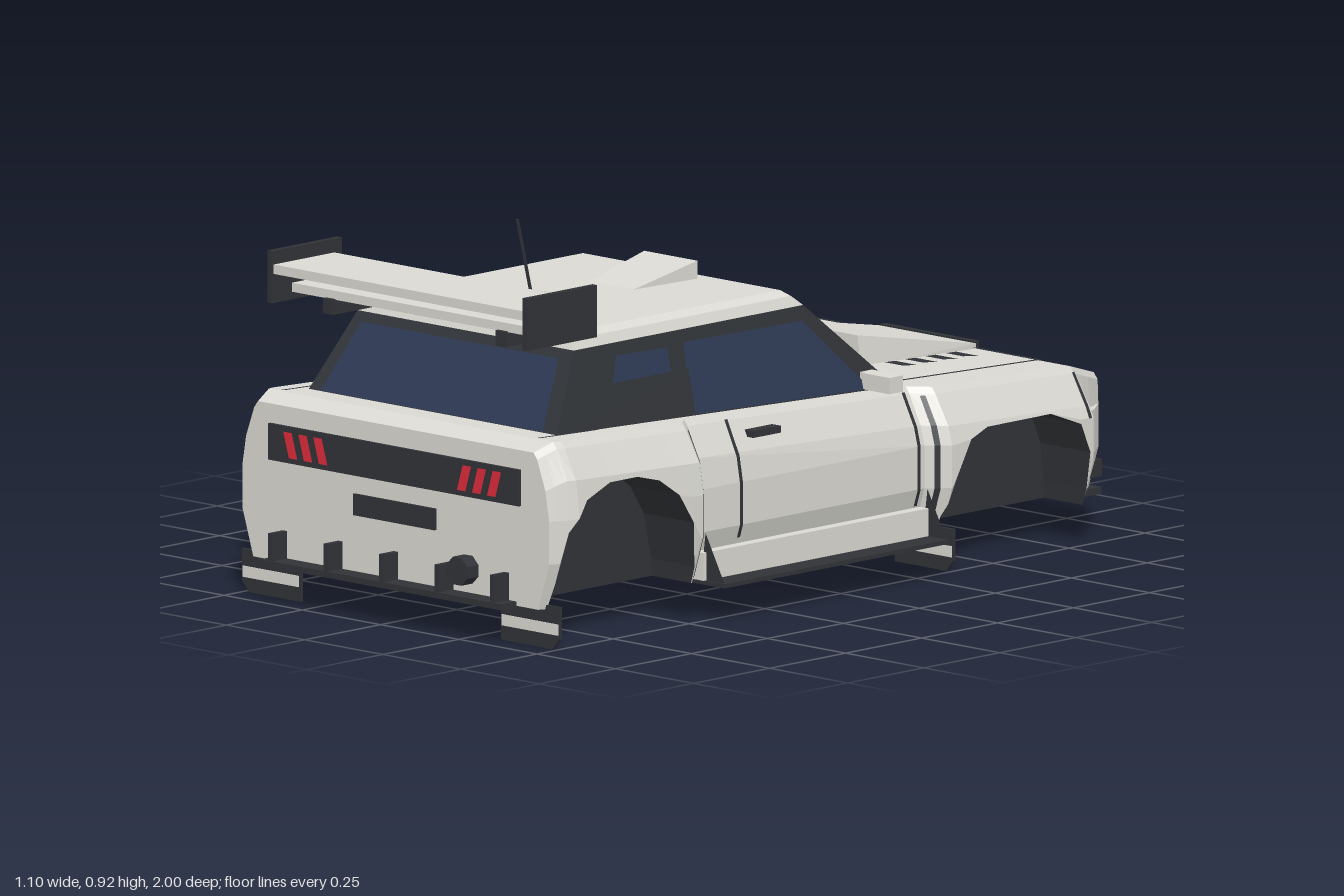
import * as THREE from 'three';
import { ConvexGeometry } from 'three/addons/geometries/ConvexGeometry.js';

const mat = (color, side = THREE.FrontSide) => new THREE.MeshStandardMaterial({ color, side, flatShading: true });
const white = mat(0xdad9d3), dark = mat(0x303337), glass = mat(0x2d3853), red = mat(0xdc2a3a), gold = mat(0xb8a76a);
const thin = (m) => { const c = m.clone(); c.side = THREE.DoubleSide; return c; };
const darkThin = thin(dark), glassThin = thin(glass), redThin = thin(red), whiteThin = thin(white);

// piecewise linear lookup through [input, output] pairs
function lookup(table, v) {
  if (v <= table[0][0]) return table[0][1];
  for (let i = 1; i < table.length; i++) {
    const [a, p] = table[i - 1], [b, q] = table[i];
    if (v <= b) return p + (q - p) * (v - a) / (b - a);
  }
  return table[table.length - 1][1];
}

// body curves along z: deck height, half width, deck half width, underside with wheel arches
const DECK = [[-0.94, 0.37], [-0.8, 0.412], [-0.29, 0.43], [0.9, 0.475], [0.95, 0.455]];
const WIDTH = [[-0.94, 0.41], [-0.88, 0.455], [-0.85, 0.47], [-0.81, 0.52], [-0.345, 0.52], [-0.3, 0.475], [0.43, 0.475], [0.475, 0.52], [0.88, 0.52], [0.95, 0.49]];
const EDGE = [[-0.94, 0.395], [-0.8, 0.455], [-0.345, 0.455], [-0.3, 0.415], [0.43, 0.415], [0.475, 0.455], [0.88, 0.46], [0.95, 0.44]];
const UNDER = [[-0.812, 0.09], [-0.81, 0.13], [-0.8, 0.22], [-0.77, 0.29], [-0.68, 0.325], [-0.47, 0.325], [-0.41, 0.305], [-0.36, 0.22], [-0.337, 0.13], [-0.335, 0.09],
  [0.478, 0.09], [0.48, 0.13], [0.505, 0.24], [0.55, 0.31], [0.61, 0.352], [0.68, 0.37], [0.77, 0.37], [0.85, 0.34], [0.905, 0.27], [0.925, 0.15], [0.93, 0.09]];
const deck = (z) => lookup(DECK, z);
const sideX = (z, y) => {
  const w = lookup(WIDTH, z), t = deck(z);
  return lookup([[0.09, w - 0.035], [0.2, w], [0.3, w], [t - 0.085, w - 0.012], [t - 0.015, lookup(EDGE, z) + 0.012], [t, lookup(EDGE, z)]], y);
};

function triangles(name, verts, material) {
  const g = new THREE.BufferGeometry();
  g.setAttribute('position', new THREE.Float32BufferAttribute(verts.flat(), 3));
  g.computeVertexNormals();
  const m = new THREE.Mesh(g, material);
  m.name = name;
  return m;
}
const panel = (name, [a, b, c, d], material) => triangles(name, [a, b, c, a, c, d], material);

function box(name, x0, x1, y0, y1, z0, z1, material) {
  const m = new THREE.Mesh(new THREE.BoxGeometry(x1 - x0, y1 - y0, z1 - z0), material);
  m.position.set((x0 + x1) / 2, (y0 + y1) / 2, (z0 + z1) / 2);
  m.name = name;
  return m;
}

// symmetric convex solid from [half width, y, z] corners
function hull(name, corners, material) {
  const pts = corners.flatMap(([x, y, z]) => [new THREE.Vector3(x, y, z), new THREE.Vector3(-x, y, z)]);
  const m = new THREE.Mesh(new ConvexGeometry(pts), material);
  m.name = name;
  return m;
}

function disc(name, r, depth, x, y, z, material) {
  const m = new THREE.Mesh(new THREE.CylinderGeometry(r, r, depth, 8).rotateY(Math.PI / 8).rotateX(Math.PI / 2), material);
  m.position.set(x, y, z);
  m.name = name;
  return m;
}

// lofted shell and its dark underside
function addBody(car) {
  const zs = [...new Set([...DECK, ...WIDTH, ...EDGE, ...UNDER].map((p) => p[0]))].sort((a, b) => a - b);
  const rings = zs.map((z) => {
    const t = deck(z), low = lookup(UNDER, z);
    const half = [0.09, 0.2, 0.3, t - 0.085, t - 0.015, t].map((y) => Math.max(y, low)).map((y) => [sideX(z, y), y, z]);
    return [...half, ...half.map(([x, y]) => [-x, y, z]).reverse()];
  });
  const shell = [], under = [], n = rings[0].length;
  for (let i = 0; i + 1 < rings.length; i++) {
    const p = rings[i], q = rings[i + 1];
    for (let j = 0; j + 1 < n; j++) shell.push(p[j], p[j + 1], q[j + 1], p[j], q[j + 1], q[j]);
    under.push(p[n - 1], p[0], q[0], p[n - 1], q[0], q[n - 1]);
  }
  const first = rings[0], last = rings[rings.length - 1];
  for (let j = 0; j < n; j++) {
    const k = (j + 1) % n;
    shell.push([0, 0.2, 0.95], last[j], last[k], [0, 0.2, -0.94], first[k], first[j]);
  }
  car.add(triangles('bodyShell', shell, whiteThin), triangles('underbody', under, darkThin));
}

// parts that exist on both sides, s = 1 or -1
function addSide(car, s) {
  const strip = (name, z0, z1, ys, m = darkThin) => {
    for (let i = 0; i + 1 < ys.length; i++) {
      const at = (z, y) => [s * (sideX(z, y) + 0.003), y, z];
      car.add(panel(name, [at(z0, ys[i]), at(z1, ys[i]), at(z1, ys[i + 1]), at(z0, ys[i + 1])], m));
    }
  };
  const mx = (name, x0, x1, ...rest) => box(name, Math.min(s * x0, s * x1), Math.max(s * x0, s * x1), ...rest);

  // panel gaps and handle
  strip('doorGap', 0.3, 0.31, [0.17, 0.2, 0.3, 0.36, 0.44]);
  strip('doorGap', -0.285, -0.275, [0.16, 0.2, 0.3, 0.345, 0.42]);
  strip('fenderGap', 0.452, 0.466, [0.1, 0.2, 0.3, 0.37, 0.44]);
  strip('fenderGap', -0.325, -0.315, [0.1, 0.2, 0.3, 0.345, 0.41]);
  strip('bumperGap', -0.803, -0.793, [0.3, 0.327, 0.4]);
  car.add(mx('doorHandle', 0.44, 0.468, 0.395, 0.411, 0.165, 0.255, dark));

  // sill and skirt
  car.add(mx('sill', 0.42, 0.488, 0.09, 0.155, -0.3, 0.44, white));
  car.add(mx('skirtBlade', 0.42, 0.55, 0.08, 0.09, -0.3, 0.435, dark));
  for (const z of [-0.3, 0.43]) {
    const b = [s * 0.545, 0.09, z];
    car.add(triangles('skirtBrace', [[s * 0.47, 0.09, z], b, [s * 0.485, 0.2, z]], darkThin));
  }

  // wheel well inner walls
  for (const arch of [UNDER.slice(0, 10), UNDER.slice(10)]) {
    const wall = new THREE.Mesh(new THREE.ShapeGeometry(new THREE.Shape(arch.map(([z, y]) => new THREE.Vector2(-z, y)))), darkThin);
    wall.rotation.y = Math.PI / 2;
    wall.position.x = s * 0.36;
    wall.name = 'wheelWellWall';
    car.add(wall);
  }

  // mud flaps with a pale stripe
  for (const z of [0.93, -0.365]) {
    const shape = new THREE.Shape([[0.32, 0], [0.485, 0], [0.507, 0.025], [0.507, 0.1], [0.32, 0.1]].map(([x, y]) => new THREE.Vector2(s * x, y)));
    const flap = new THREE.Mesh(new THREE.ExtrudeGeometry(shape, { depth: 0.008, bevelEnabled: false }), dark);
    flap.position.z = z - 0.004;
    flap.name = 'mudFlap';
    car.add(flap, mx('flapStripe', 0.325, 0.504, 0.034, 0.06, z - 0.006, z + 0.006, white));
  }

  // side windows
  const pane = (pts) => car.add(panel('sideWindow', pts.map(([z, y]) => [s * (0.4 - (y - 0.43) * 0.256 + 0.004), y, z]), glassThin));
  pane([[0.66, 0.47], [0.425, 0.46], [0.425, 0.615], [0.59, 0.62]]);
  pane([[0.385, 0.458], [-0.2, 0.437], [-0.02, 0.615], [0.37, 0.62]]);

  // mirror, hood seam, deck seam, louvres
  car.add(mx('mirror', 0.39, 0.46, 0.44, 0.478, -0.215, -0.175, white), mx('mirrorHead', 0.41, 0.49, 0.44, 0.478, -0.215, -0.17, white));
  const flat = (name, pts) => car.add(panel(name, pts.map(([x, z]) => [s * x, deck(z) + 0.003, z]), darkThin));
  flat('hoodSeam', [[0.355, -0.8], [0.365, -0.8], [0.365, -0.3], [0.355, -0.3]]);
  flat('hoodSeam', [[0.15, -0.8], [0.36, -0.8], [0.36, -0.79], [0.15, -0.79]]);
  flat('deckSeam', [[0.405, 0.71], [0.413, 0.71], [0.413, 0.9], [0.405, 0.9]]);
  for (let i = 0; i < 4; i++) {
    const z = -0.72 + i * 0.067;
    flat('hoodLouvre', [[0.168, z], [0.242, z], [0.222, z + 0.033], [0.168, z + 0.033]]);
  }

  // tail lights and headlights
  for (const x of [0.207, 0.255, 0.303])
    car.add(panel('tailLight', [[s * x, 0.338, 0.962], [s * (x + 0.027), 0.338, 0.962], [s * (x + 0.045), 0.398, 0.962], [s * (x + 0.018), 0.398, 0.962]], redThin));
  car.add(panel('headlight', [[s * 0.25, 0.305, -0.953], [s * 0.375, 0.305, -0.953], [s * 0.375, 0.335, -0.953], [s * 0.24, 0.335, -0.953]], whiteThin));

  // wing end plate and mount
  car.add(mx('wingEndPlate', 0.4, 0.414, 0.688, 0.81, 0.715, 0.945, dark));
  car.add(mx('wingMount', 0.26, 0.29, 0.672, 0.708, 0.69, 0.89, dark));
}

function addCabin(car) {
  const sill = [[0.4, 0.425, -0.29], [0.4, 0.46, 0.835]], rail = [[0.345, 0.648, -0.035], [0.345, 0.648, 0.72]];
  car.add(hull('cabin', [...sill, ...rail], dark));
  car.add(hull('roof', [...rail, [0.335, 0.672, -0.005], [0.315, 0.685, 0.01], [0.335, 0.672, 0.71], [0.315, 0.685, 0.7]], white));
  const screen = (name, z0, y0, z1, y1, w0, w1, dz) =>
    car.add(panel(name, [[-w0, y0, z0 + dz], [w0, y0, z0 + dz], [w1, y1, z1 + dz], [-w1, y1, z1 + dz]], glassThin));
  screen('windscreen', -0.278, 0.435, -0.062, 0.626, 0.37, 0.315, -0.005);
  screen('rearWindow', 0.826, 0.475, 0.733, 0.628, 0.355, 0.315, 0.006);

  // roof scoop, fin, aerial
  car.add(hull('roofScoop', [[0.085, 0.683, 0.045], [0.085, 0.727, 0.045], [0.07, 0.683, 0.25]], white));
  car.add(box('roofScoopMouth', -0.07, 0.07, 0.69, 0.718, 0.041, 0.05, dark));
  car.add(hull('roofFin', [[0.007, 0.68, 0.37], [0.007, 0.68, 0.695], [0.007, 0.76, 0.695]], white));
  car.add(box('aerialBase', 0.11, 0.143, 0.683, 0.695, 0.595, 0.645, dark));
  const aerial = new THREE.Mesh(new THREE.CylinderGeometry(0.004, 0.004, 0.235, 6), dark);
  aerial.position.set(0.127, 0.805, 0.652);
  aerial.rotation.x = 0.25;
  aerial.name = 'aerial';
  car.add(aerial);
}

export function createModel() {
  const car = new THREE.Group();
  car.name = 'rallyCar';
  addBody(car);
  addCabin(car);
  for (const s of [1, -1]) addSide(car, s);

  // hood scoop and deck lip
  car.add(hull('hoodScoop', [[0.155, 0.41, -0.8], [0.155, 0.424, -0.8], [0.155, 0.42, -0.42], [0.145, 0.495, -0.42]], white));
  car.add(box('hoodScoopMouth', -0.15, 0.15, 0.408, 0.428, -0.815, -0.8, dark));

  // rear wing
  car.add(box('upperWing', -0.402, 0.402, 0.756, 0.778, 0.74, 0.94, white));
  car.add(box('lowerWing', -0.402, 0.402, 0.706, 0.727, 0.72, 0.88, white));

  // tail panel, plate, diffuser, exhaust
  car.add(box('tailPanel', -0.4, 0.4, 0.325, 0.41, 0.94, 0.958, dark));
  car.add(box('plateRecess', -0.13, 0.13, 0.232, 0.282, 0.94, 0.957, dark));
  car.add(box('diffuser', -0.385, 0.385, 0.086, 0.1, 0.9, 1.0, dark));
  for (let i = -2; i <= 2; i++) car.add(box('diffuserFin', i * 0.177 - 0.007, i * 0.177 + 0.007, 0.09, 0.164, 0.94, 0.998, dark));
  car.add(disc('exhaust', 0.035, 0.05, 0.232, 0.155, 0.962, dark));

  // nose: grille, lamp bar, four lamps, splitter
  car.add(box('grille', -0.4, 0.4, 0.235, 0.348, -0.95, -0.92, dark));
  car.add(box('lampBar', -0.4, 0.4, 0.125, 0.165, -0.962, -0.92, dark));
  car.add(box('splitter', -0.4, 0.4, 0.084, 0.1, -0.96, -0.86, dark));
  for (const x of [-0.24, -0.08, 0.08, 0.24]) {
    car.add(disc('lampHousing', 0.06, 0.04, x, 0.17, -0.967, dark));
    car.add(disc('lamp', 0.065, 0.016, x, 0.17, -0.992, gold));
  }
  return car;
}
